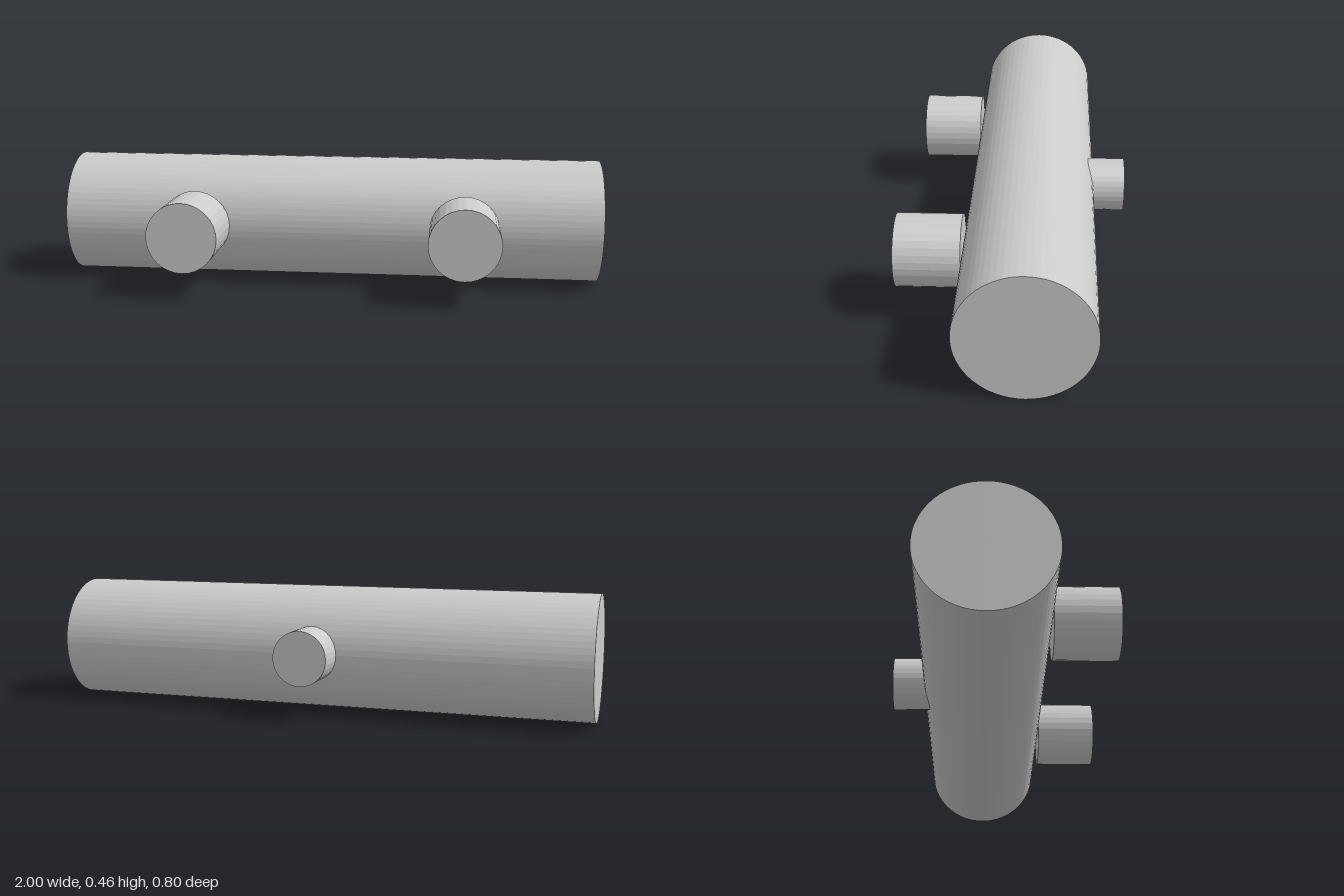
import * as THREE from 'three';

const AXIS_Y = 0.229;
const BODY_Z = -0.057;

export function createModel() {
  const group = new THREE.Group();
  const material = new THREE.MeshStandardMaterial({ color: 0xcccccc, flatShading: true });

  const addCylinder = (name, radius, length, sides) => {
    const mesh = new THREE.Mesh(new THREE.CylinderGeometry(radius, radius, length, sides), material);
    mesh.name = name;
    group.add(mesh);
    return mesh;
  };

  // Peg along z between two depths
  const addPeg = (name, radius, x, zBack, zFront) => {
    const peg = addCylinder(name, radius, zFront - zBack, 32);
    peg.rotation.x = Math.PI / 2;
    peg.position.set(x, AXIS_Y, (zBack + zFront) / 2);
  };

  // Main horizontal body
  const body = addCylinder('mainCylinder', 0.229, 2, 64);
  body.rotation.z = Math.PI / 2;
  body.position.set(0, AXIS_Y, BODY_Z);

  // Two front pegs touching the body, one smaller back peg set into it
  addPeg('leftFrontPeg', 0.128, 0.5, 0.172, 0.4);
  addPeg('rightFrontPeg', 0.128, -0.5, 0.172, 0.4);
  addPeg('backPeg', 0.099, 0, -0.4, -0.2);

  return group;
}
